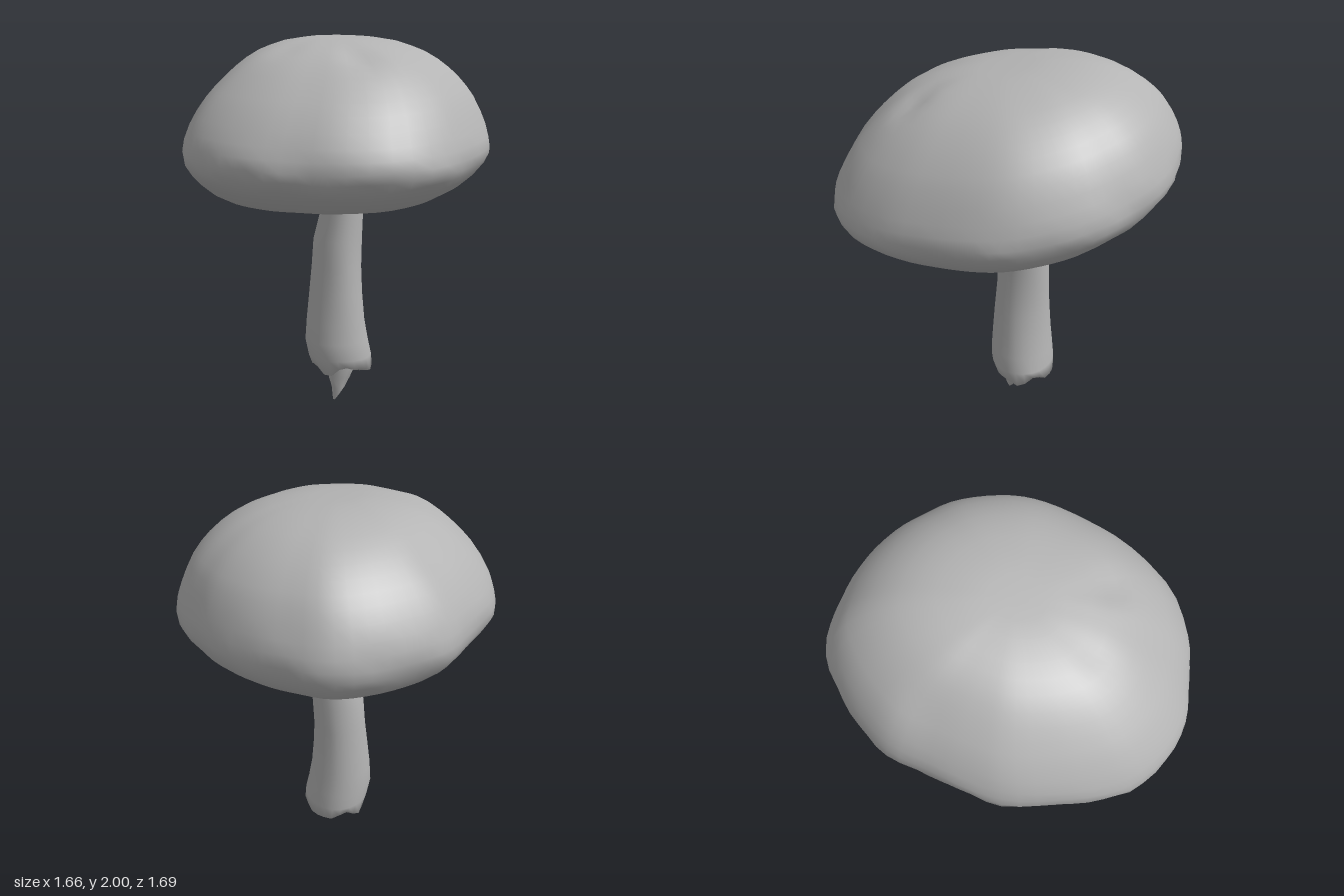
import * as THREE from 'three';

const grey = new THREE.MeshStandardMaterial({ color: 0xb4b4b4 });
grey.name = 'mushroom grey';

// Skin a stack of closed rings, listed from top to bottom; each ring runs from +x through +z.
function skin(rings, name) {
  const n = rings[0].length, pos = [], index = [];
  rings.forEach(ring => ring.forEach(p => pos.push(p.x, p.y, p.z)));
  for (let r = 0; r < rings.length - 1; r++) {
    for (let i = 0; i < n; i++) {
      const a = r * n + i, b = r * n + (i + 1) % n, c = a + n, d = b + n;
      index.push(a, b, c, b, d, c);
    }
  }
  // Close both ends with a fan around the ring centre
  [[0, 1], [rings.length - 1, -1]].forEach(([r, side]) => {
    const mid = new THREE.Vector3();
    rings[r].forEach(p => mid.addScaledVector(p, 1 / n));
    const m = pos.length / 3;
    pos.push(mid.x, mid.y, mid.z);
    for (let i = 0; i < n; i++) {
      const a = r * n + i, b = r * n + (i + 1) % n;
      if (side > 0) index.push(m, b, a); else index.push(m, a, b);
    }
  });
  const geo = new THREE.BufferGeometry();
  geo.setAttribute('position', new THREE.Float32BufferAttribute(pos, 3));
  geo.setIndex(index);
  geo.computeVertexNormals();
  const mesh = new THREE.Mesh(geo, grey);
  mesh.name = name;
  return mesh;
}

// Uneven cap outline seen from above, as x, z
const outline = [
  [0.83, 0.04], [0.79, 0.22], [0.71, 0.4], [0.6, 0.53], [0.4, 0.68], [0.2, 0.79],
  [-0.08, 0.845], [-0.35, 0.77], [-0.51, 0.66], [-0.67, 0.53], [-0.78, 0.36], [-0.83, 0.15],
  [-0.8, -0.04], [-0.73, -0.23], [-0.62, -0.43], [-0.48, -0.56], [-0.32, -0.68], [-0.17, -0.79],
  [0, -0.835], [0.2, -0.85], [0.41, -0.81], [0.55, -0.69], [0.66, -0.57], [0.74, -0.44], [0.8, -0.28], [0.82, -0.13],
];

// Cap section from crown, round the lip, into the hollow: share of the outline, height
const capProfile = [
  [0.06, 1.977], [0.15, 1.976], [0.25, 1.972], [0.38, 1.955], [0.47, 1.932], [0.55, 1.907],
  [0.63, 1.87], [0.7, 1.828], [0.76, 1.785], [0.82, 1.735], [0.87, 1.685], [0.92, 1.62],
  [0.96, 1.555], [0.985, 1.5], [1, 1.445], [0.985, 1.395], [0.955, 1.35], [0.91, 1.305],
  [0.83, 1.25], [0.75, 1.215], [0.68, 1.203], [0.62, 1.208], [0.55, 1.228], [0.46, 1.27],
  [0.38, 1.33], [0.3, 1.4], [0.2, 1.45], [0.08, 1.47],
];

// Shallow dents in the crown: x, z, radius, depth
const dents = [[-0.07, 0.43, 0.08, 0.03], [-0.33, 0.17, 0.08, 0.01], [-0.15, -0.57, 0.1, 0.01]];

function makeCap() {
  const curve = new THREE.CatmullRomCurve3(outline.map(([x, z]) => new THREE.Vector3(x, 0, z)), true);
  const rim = curve.getPoints(72).slice(0, 72);
  const rings = capProfile.map(([s, h], k) => {
    // the crown leans towards +x, and the underside tilts less than the top
    const lean = 0.03 * THREE.MathUtils.smoothstep(h, 1.5, 1.85);
    const tilt = 0.1 + 0.03 * THREE.MathUtils.smoothstep(h, 1.25, 1.6);
    return rim.map((p, i) => {
      const a = i / 72 * Math.PI * 2;
      // lumps gather around the lip
      const lip = Math.exp(-(((h - 1.37) / 0.12) ** 2)) * (s > 0.6 ? 1 : 0.4);
      const lump = lip * (Math.sin(a * 9 + k) + Math.sin(a * 17 - k * 1.7) + Math.sin(a * 5 + 2)) * 0.007;
      const f = s + Math.min(lump, 1 - s);
      const x = p.x * f + lean, z = p.z * f;
      let y = h + 0.05 * (x - lean) - tilt * z + lump * 0.6;
      if (h > 1.6) {
        for (const [dx, dz, r, depth] of dents) y -= depth * Math.exp(-((x - dx) ** 2 + (z - dz) ** 2) / (r * r));
      }
      return new THREE.Vector3(x, y, z);
    });
  });
  return skin(rings, 'cap');
}

// Stack of ovals: height, min x, max x, min z, max z; wobble roughens the wall, ragged the lowest rings
function ovals(sections, n, wobble, ragged) {
  return sections.map(([y, x0, x1, z0, z1], k) => Array.from({ length: n }, (_, i) => {
    const a = i / n * Math.PI * 2;
    const f = 1 + wobble * (Math.sin(a * 3 + k * 0.6) + 0.6 * Math.sin(a * 5 - k * 1.3));
    const drop = k >= sections.length - 3 ? ragged * (Math.sin(a * 4 + 1) + 0.6 * Math.sin(a * 7)) : 0;
    return new THREE.Vector3(
      (x0 + x1) / 2 + (x1 - x0) / 2 * f * Math.cos(a), y + drop,
      (z0 + z1) / 2 + (z1 - z0) / 2 * f * Math.sin(a));
  }));
}

export function createModel() {
  const model = new THREE.Group();
  model.name = 'mushroom';
  model.add(makeCap());

  // Stem widening to a torn foot
  model.add(skin(ovals([
    [1.5, 0, 0.22, -0.18, 0.04], [1.3, 0, 0.21, -0.18, 0.04], [1.15, -0.01, 0.205, -0.195, 0.04],
    [1.03, -0.03, 0.205, -0.215, 0.04], [0.9, -0.06, 0.205, -0.235, 0.04], [0.75, -0.07, 0.2, -0.245, 0.045],
    [0.6, -0.085, 0.205, -0.255, 0.055], [0.45, -0.1, 0.22, -0.265, 0.065], [0.34, -0.11, 0.24, -0.27, 0.075],
    [0.25, -0.095, 0.255, -0.27, 0.085], [0.19, -0.075, 0.26, -0.265, 0.075],
    [0.185, -0.03, 0.19, -0.21, 0.03], [0.23, 0.03, 0.13, -0.13, -0.03],
  ], 24, 0.015, 0.02), 'stem'));

  // Broken root tip
  model.add(skin(ovals([
    [0.27, 0, 0.14, -0.13, 0.03], [0.2, -0.01, 0.14, -0.11, 0.03], [0.13, -0.01, 0.12, -0.09, 0],
    [0.07, 0.01, 0.085, -0.07, -0.01], [0.03, 0.015, 0.055, -0.06, -0.025], [0, 0.018, 0.03, -0.05, -0.04],
  ], 10, 0.06, 0), 'rootTip'));
  return model;
}
